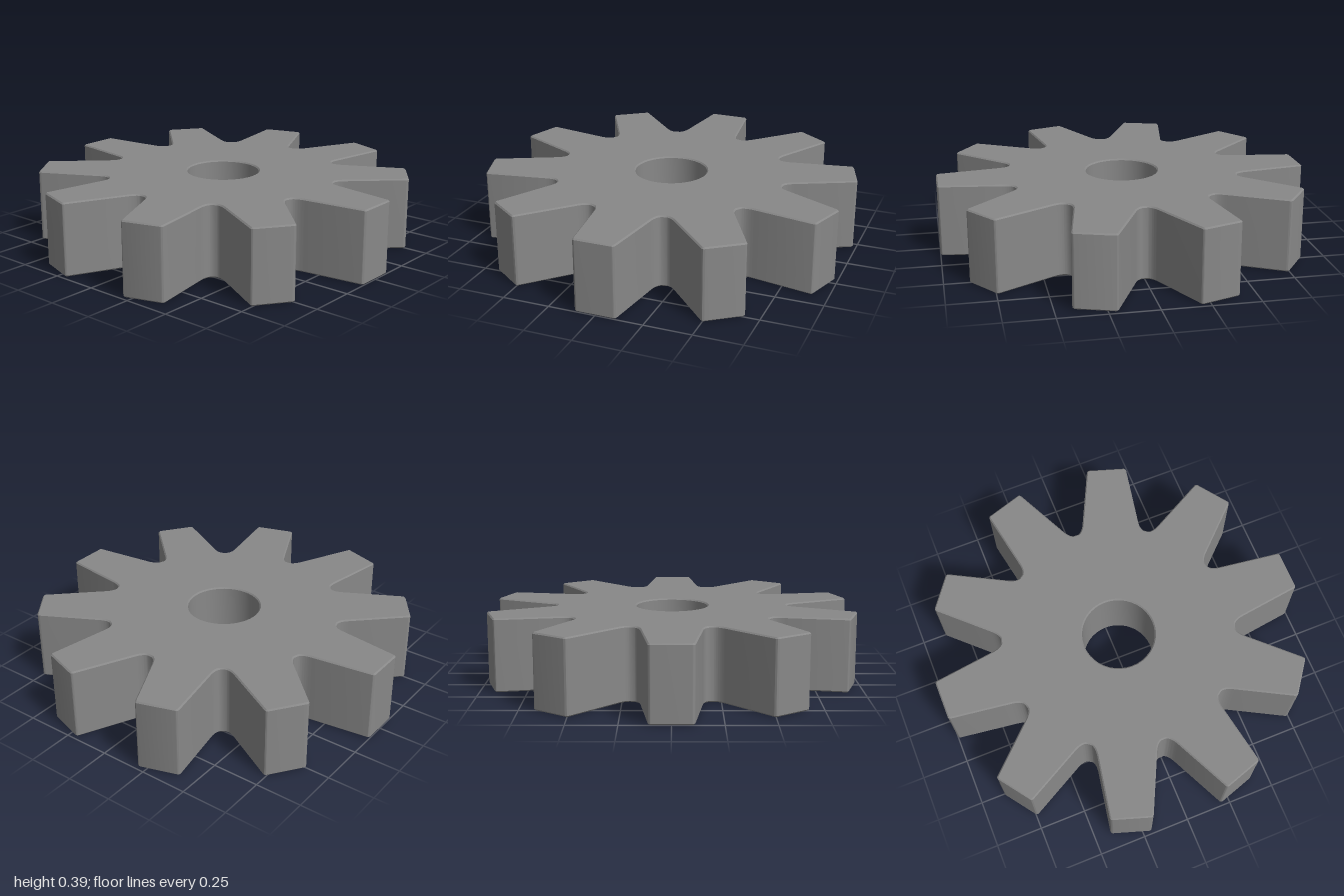
import * as THREE from 'three';
import { toCreasedNormals } from 'three/addons/utils/BufferGeometryUtils.js';

const TEETH = 10;
const HEIGHT = 0.39;
const BEVEL = 0.007;

// Gear outline: tapered teeth joined by filleted valleys, with a round bore
function gearShape() {
  const shape = new THREE.Shape();
  const valley = THREE.MathUtils.degToRad(16.8);
  const rootX = 0.63 * Math.sin(valley), rootY = 0.63 * Math.cos(valley);
  for (let i = 0; i < TEETH; i++) {
    const turn = (i / TEETH) * Math.PI * 2;
    const c = Math.cos(turn), s = Math.sin(turn);
    const at = (x, y) => [x * c + y * s, y * c - x * s];
    if (i === 0) shape.moveTo(...at(-rootX, rootY));
    else shape.lineTo(...at(-rootX, rootY));
    // left fillet and flank
    shape.quadraticCurveTo(...at(-0.16, 0.618), ...at(-0.154, 0.67));
    shape.lineTo(...at(-0.112, 0.985));
    // tip with softened corners
    shape.quadraticCurveTo(...at(-0.11, 1), ...at(-0.095, 1));
    shape.lineTo(...at(0.095, 1));
    shape.quadraticCurveTo(...at(0.11, 1), ...at(0.112, 0.985));
    // right flank and fillet
    shape.lineTo(...at(0.154, 0.67));
    shape.quadraticCurveTo(...at(0.16, 0.618), ...at(rootX, rootY));
  }
  shape.closePath();
  // The outline runs clockwise, so the bore runs counter-clockwise
  const bore = new THREE.Path();
  bore.absarc(0, 0, 0.195, 0, Math.PI * 2, false);
  shape.holes.push(bore);
  return shape;
}

export function createModel() {
  const group = new THREE.Group();
  group.name = 'gear';

  const extruded = new THREE.ExtrudeGeometry(gearShape(), {
    depth: HEIGHT - 2 * BEVEL,
    curveSegments: 20,
    bevelEnabled: true,
    bevelThickness: BEVEL,
    bevelSize: BEVEL,
    bevelOffset: -BEVEL,
    bevelSegments: 1,
  });
  // Lay the gear flat on the ground
  extruded.translate(0, 0, BEVEL);
  extruded.rotateX(-Math.PI / 2);

  const wheel = new THREE.Mesh(
    toCreasedNormals(extruded, 0.6),
    new THREE.MeshStandardMaterial({ color: 0x888888 })
  );
  wheel.name = 'gearWheel';
  group.add(wheel);
  return group;
}
